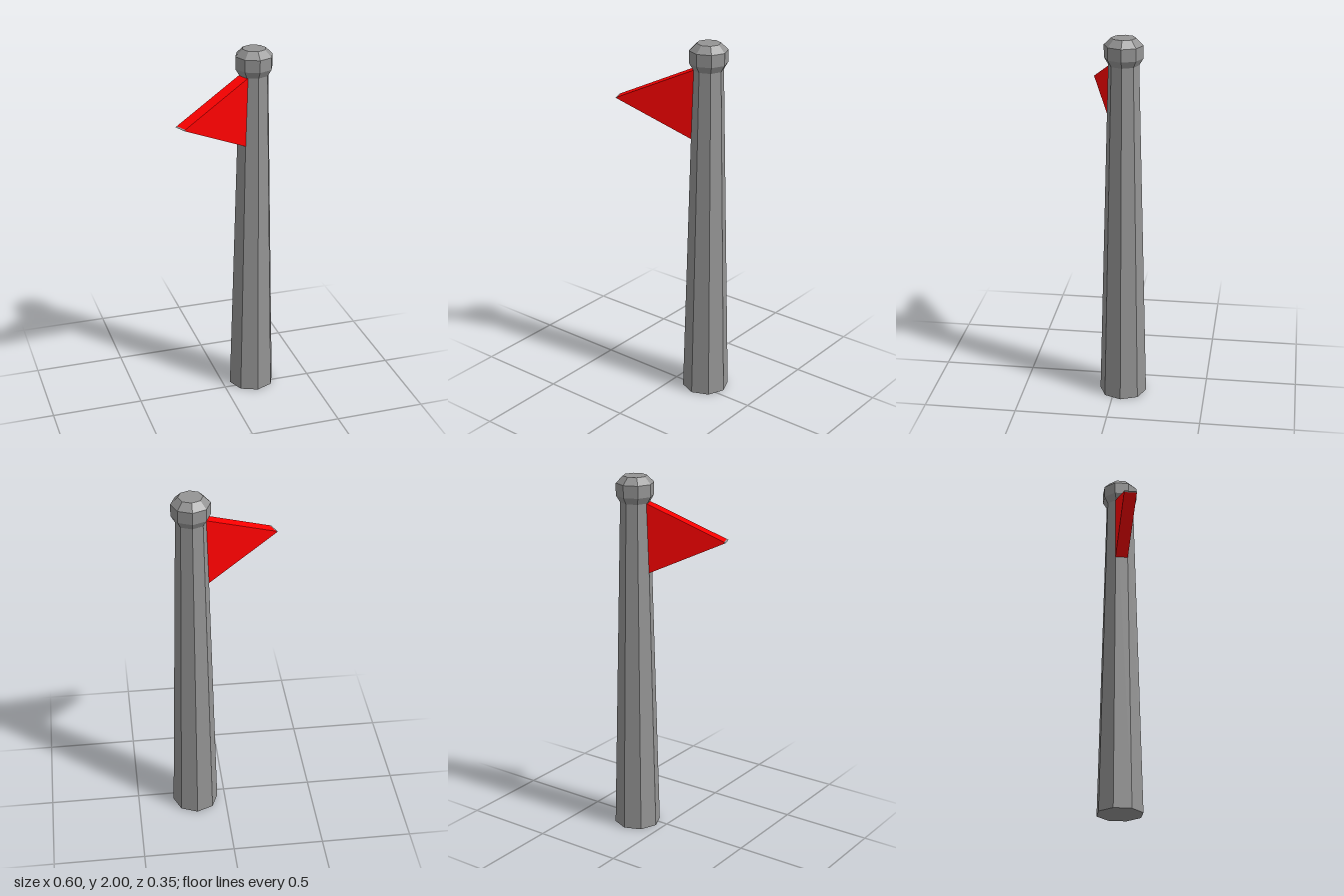
import * as THREE from 'three';

export function createModel() {
  const model = new THREE.Group();
  const grey = new THREE.MeshStandardMaterial({ color: 0x949494, flatShading: true });
  const red = new THREE.MeshStandardMaterial({ color: 0xff0000, flatShading: true });

  // Everything hangs off the pole axis
  const flagpole = new THREE.Group();
  flagpole.name = 'flagpole';
  flagpole.position.set(0.171, 0, -0.047);
  model.add(flagpole);

  const add = (name, geometry, material, parent) => {
    const mesh = new THREE.Mesh(geometry, material);
    mesh.name = name;
    parent.add(mesh);
  };
  const lathe = (points) =>
    new THREE.LatheGeometry(points.map(([r, y]) => new THREE.Vector2(r, y)), 8);

  // Tapered eight-sided pole with a closed foot
  add('pole', lathe([[0, 0], [0.128, 0], [0.08, 1.86]]), grey, flagpole);

  // Faceted knob on top
  add('knob', lathe([[0.08, 1.86], [0.102, 1.897], [0.102, 1.963], [0.064, 2], [0, 2]]), grey, flagpole);

  // Thick triangular pennant, pointing out through one pole facet
  const pennant = new THREE.Group();
  pennant.name = 'pennant';
  pennant.position.y = 1.673;
  pennant.rotation.y = Math.PI + Math.PI / 8;
  flagpole.add(pennant);

  const thickness = 0.07, root = 0.055, cut = 0.486, tip = 0.495;
  const upper = (x) => [x, (tip - x) * 0.44];
  const lower = (x) => [x, (x - tip) * 0.46];
  const prism = (points) => {
    const shape = new THREE.Shape(points.map(([x, y]) => new THREE.Vector2(x, y)));
    return new THREE.ExtrudeGeometry(shape, { depth: thickness, bevelEnabled: false })
      .translate(0, 0, -thickness / 2);
  };
  add('pennantCloth', prism([lower(root), lower(cut), upper(cut), upper(root)]), red, pennant);

  // Small grey edge at the point
  add('pennantTip', prism([lower(cut), [tip, 0], upper(cut)]), grey, pennant);

  return model;
}
